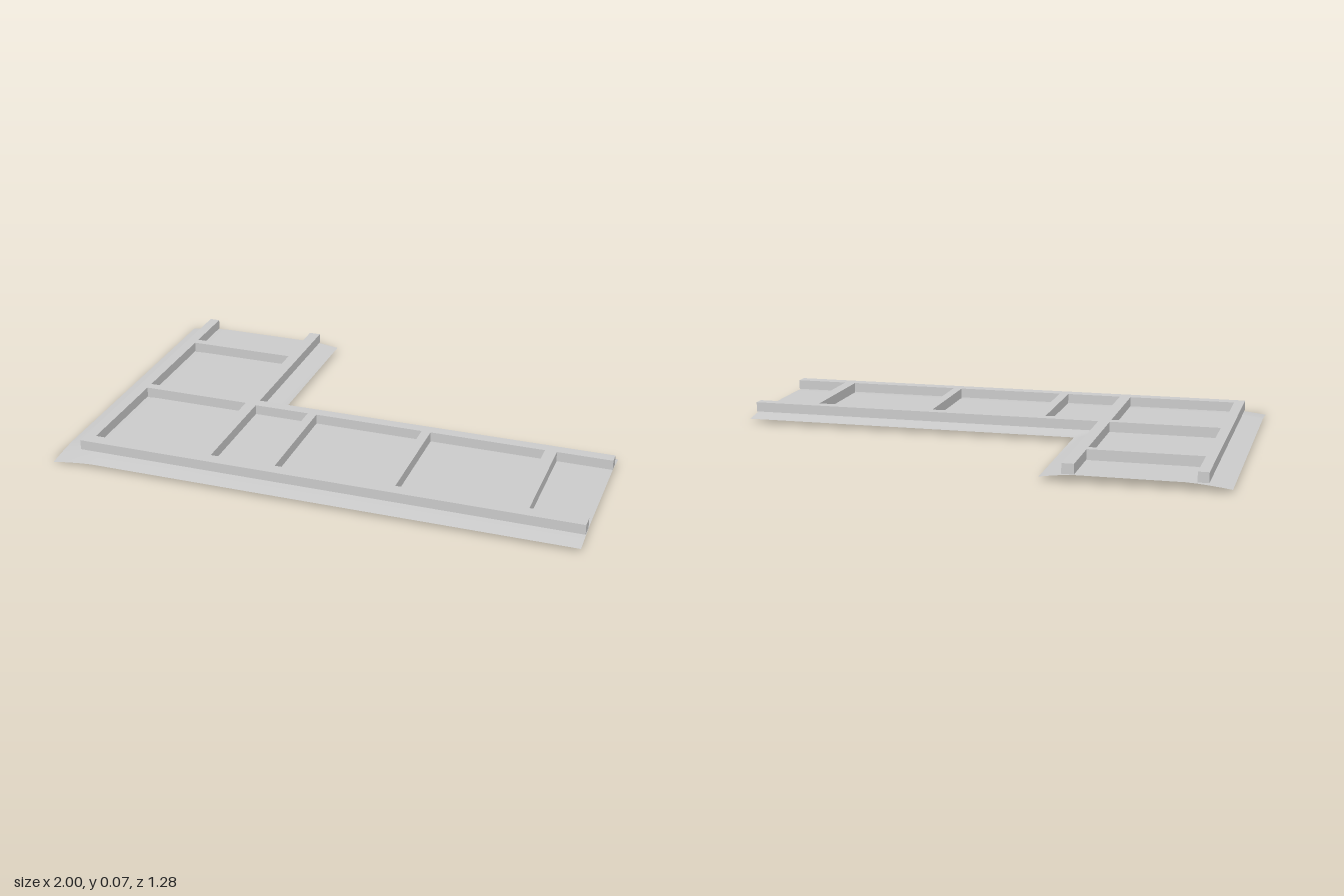
import * as THREE from 'three';

const grey = new THREE.MeshStandardMaterial({ color: 0xcccccc });
const sheetGrey = new THREE.MeshStandardMaterial({ color: 0xcccccc, side: THREE.DoubleSide });

// Box given by its limits along each axis
function beam(name, x0, x1, z0, z1, y0 = 0.032, y1 = 0.07) {
  const mesh = new THREE.Mesh(new THREE.BoxGeometry(x1 - x0, y1 - y0, z1 - z0), grey);
  mesh.position.set((x0 + x1) / 2, (y0 + y1) / 2, (z0 + z1) / 2);
  mesh.name = name;
  return mesh;
}

// Drop that grows from 0 at the plateau edge to `depth` at the outer edge
function droop(v, inner, outer, depth) {
  const t = THREE.MathUtils.clamp((v - inner) / (outer - inner), 0, 1);
  return depth * Math.pow(t, 1.4);
}

// L-shaped skin, flat in the middle and bending down at its long edges
function skin() {
  const xs = [-1, -0.96, -0.92, -0.88, -0.84, -0.45, -0.42, -0.39, -0.36, -0.33, 1];
  const zs = [-0.64, -0.03, 0, 0.03, 0.06, 0.09, 0.49, 0.53, 0.565, 0.6, 0.64];
  const height = (x, z) => 0.03
    - droop(x, -0.84, -1, 0.016)
    - droop(z, 0.49, 0.64, 0.014)
    - Math.min(droop(x, -0.45, -0.33, 0.013), droop(z, 0.09, -0.03, 0.015));
  const positions = [], index = [], n = zs.length;
  for (const x of xs) for (const z of zs) positions.push(x, height(x, z), z);
  for (let i = 0; i < xs.length - 1; i++) {
    for (let j = 0; j < n - 1; j++) {
      if (xs[i] >= -0.33 && zs[j] < -0.03) continue; // open inner corner
      const a = i * n + j, b = a + n;
      index.push(a, a + 1, b, b, a + 1, b + 1);
    }
  }
  const geometry = new THREE.BufferGeometry();
  geometry.setAttribute('position', new THREE.Float32BufferAttribute(positions, 3));
  geometry.setIndex(index);
  geometry.computeVertexNormals();
  const mesh = new THREE.Mesh(geometry, sheetGrey);
  mesh.name = 'skin';
  return mesh;
}

export function createModel() {
  const model = new THREE.Group();
  model.name = 'panelFrame';
  model.add(skin());

  // Long rails of the back arm and the side arm
  model.add(
    beam('outerRail', -0.92, -0.88, -0.64, 0.57),
    beam('innerRail', -0.455, -0.41, -0.64, 0.57),
    beam('frontCornerRail', -0.88, -0.455, 0.52, 0.57),
    beam('frontRail', -0.41, 1, 0.52, 0.57),
    beam('backRail', -0.41, 1, 0.042, 0.085),
  );

  // Crossbars, slightly showing through the skin
  for (const [z0, z1] of [[-0.418, -0.385], [0.042, 0.078]])
    model.add(beam('backArmCrossbar', -0.88, -0.455, z0, z1, 0.028));
  for (const [x0, x1, y0] of [[-0.193, -0.157, 0.032], [0.268, 0.303, 0.028], [0.745, 0.79, 0.028]])
    model.add(beam('sideArmCrossbar', x0, x1, 0.085, 0.52, y0));

  return model;
}
